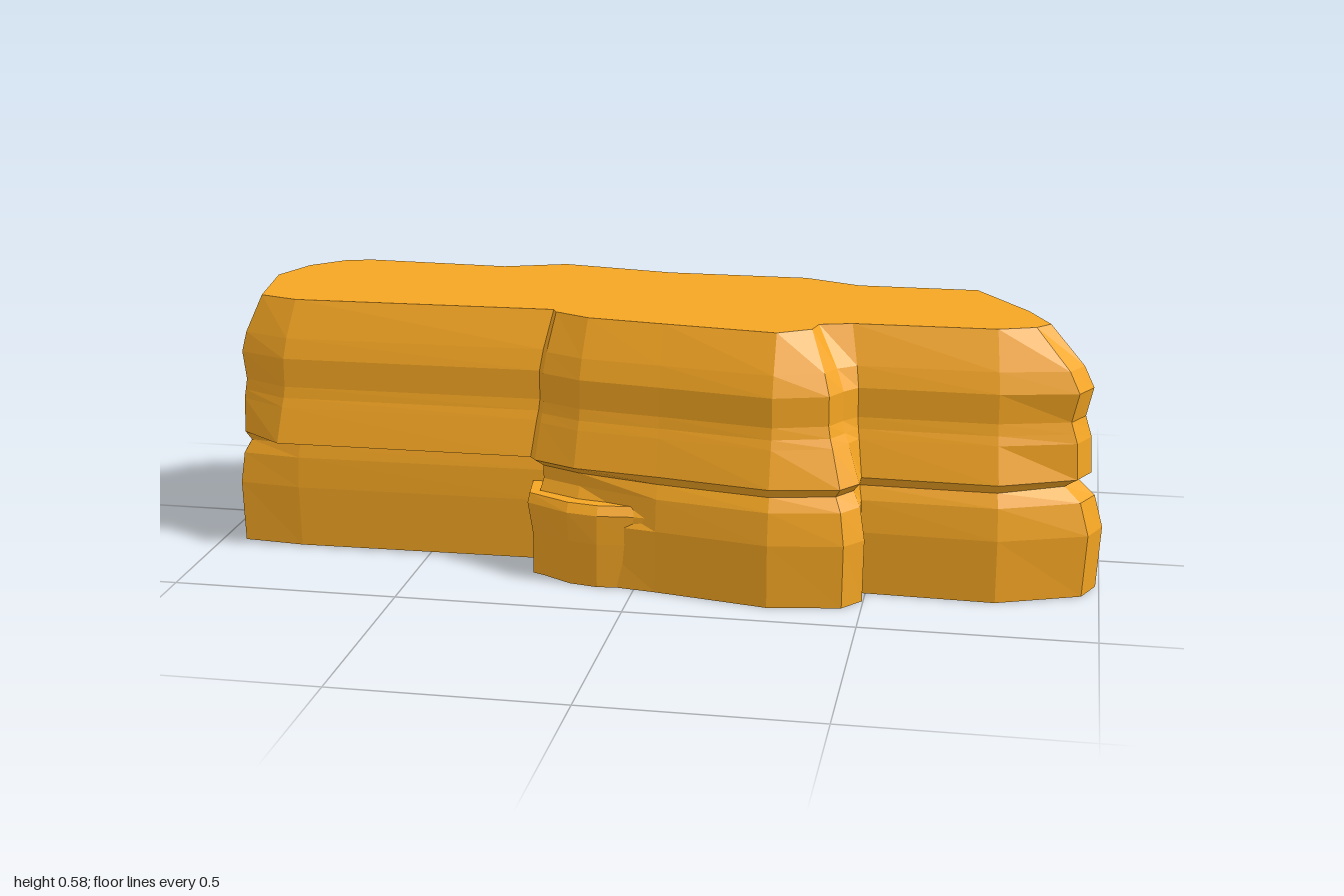
import * as THREE from 'three';

const rockMaterial = new THREE.MeshStandardMaterial({ color: 0xf5a623, flatShading: true });

// Skin a stack of rings (each an array of [x, y, z], same count) and cap both ends.
function skinRings(name, rings) {
  const pos = [];
  const tri = (a, b, c) => pos.push(...a, ...b, ...c);
  for (let k = 0; k < rings.length - 1; k++) {
    const lo = rings[k], hi = rings[k + 1];
    lo.forEach((a, i) => {
      const j = (i + 1) % lo.length;
      tri(a, hi[j], lo[j]);
      tri(a, hi[i], hi[j]);
    });
  }
  const cap = (ring, up) => {
    const flat = ring.map(p => new THREE.Vector2(p[0], p[2]));
    for (const [i, j, k] of THREE.ShapeUtils.triangulateShape(flat, [])) {
      const a = ring[i], b = ring[j], c = ring[k];
      const ny = (b[2] - a[2]) * (c[0] - a[0]) - (b[0] - a[0]) * (c[2] - a[2]);
      if ((ny > 0) === up) tri(a, b, c); else tri(a, c, b);
    }
  };
  cap(rings[0], false);
  cap(rings[rings.length - 1], true);
  const g = new THREE.BufferGeometry();
  g.setAttribute('position', new THREE.Float32BufferAttribute(pos, 3));
  g.computeVertexNormals();
  const mesh = new THREE.Mesh(g, rockMaterial);
  mesh.name = name;
  return mesh;
}

// Plan of the slab: widest x, z then top x, z, clockwise from the right end
const plan = [
  [-1.0, -0.05, -0.92, -0.03], [-0.95, -0.19, -0.88, -0.14], [-0.84, -0.32, -0.81, -0.21],
  [-0.76, -0.35, -0.75, -0.225], [-0.41, -0.33, -0.42, -0.21], [-0.22, -0.34, -0.28, -0.26],
  [0.1, -0.37, -0.02, -0.215], [0.3, -0.37, 0.3, -0.215], [0.43, -0.29, 0.43, -0.16],
  [0.74, -0.29, 0.7, -0.16], [0.92, -0.05, 0.82, 0.02], [1.0, 0.17, 0.87, 0.13],
  [0.97, 0.24, 0.84, 0.165], [0.78, 0.31, 0.76, 0.195], [0.49, 0.3, 0.45, 0.2],
  [0.5, 0.35, 0.38, 0.22], [0.46, 0.4, 0.37, 0.265], [0.3, 0.425, 0.3, 0.31],
  [0.05, 0.375, 0.05, 0.275], [-0.14, 0.345, -0.12, 0.25], [-0.24, 0.3, -0.2, 0.21],
  [-0.255, 0.28, -0.21, 0.19], [-0.84, 0.28, -0.8, 0.2], [-0.95, 0.2, -0.89, 0.17],
];

// Strata: height, then how far each side has drawn in from widest to top outline
const strata = [
  { y: 0, front: 0.02, frontRight: 0.85, recess: 0.02, end: 0.06, backLeft: 0, backRight: 0.05 },
  { y: 0.14, front: 0, frontRight: 0.8, recess: 0.05, end: 0, backLeft: 0.5, backRight: 0 },
  { y: 0.21, front: 0.1, frontRight: 0.85, recess: 0.45, end: 0.15, backLeft: 0.73, backRight: 0.25 },
  { y: 0.24, front: 0.24, frontRight: 0.92, recess: 0.45, end: 0.42, backLeft: 0.78, backRight: 1 },
  { y: 0.26, front: 0.13, frontRight: 0.13, recess: 0.13, end: 0.22, backLeft: 0.66, backRight: 0.42 },
  { y: 0.34, front: 0.36, frontRight: 0.36, recess: 0.36, end: 0.25, backLeft: 0.7, backRight: 0.38 },
  { y: 0.36, front: 0.43, frontRight: 0.43, recess: 0.43, end: 0.3, backLeft: 0.76, backRight: 0.6 },
  { y: 0.385, front: 0.48, frontRight: 0.48, recess: 0.48, end: 0.36, backLeft: 0.65, backRight: 0.45 },
  { y: 0.45, front: 0.48, frontRight: 0.48, recess: 0.48, end: 0.25, backLeft: 0.67, backRight: 0.45 },
  { y: 0.495, front: 0.62, frontRight: 0.62, recess: 0.62, end: 0.42, backLeft: 0.7, backRight: 0.58 },
  { y: 0.578, front: 1, frontRight: 1, recess: 1, end: 1, backLeft: 1, backRight: 1 },
];

function sideOf(x, z) {
  if (Math.abs(x) > 0.9 && z > -0.1) return 'end';
  if (z < 0) return x > 0 ? 'backLeft' : 'backRight';
  if (x < -0.25) return 'frontRight';
  return x < 0 ? 'recess' : 'front';
}

function cliffRings() {
  return strata.map(layer => plan.map(([x, z, tx, tz]) => {
    const t = layer[sideOf(x, z)];
    return [x + (tx - x) * t, layer.y, z + (tz - z) * t];
  }));
}

// Boulder: an outline scaled about a centre inside the cliff, level by level
function boulderRings(outline, cx, cz, levels) {
  return levels.map(([y, sx, sz]) =>
    outline.map(([x, z]) => [cx + (x - cx) * sx, y, cz + (z - cz) * sz]));
}

export function createModel() {
  const group = new THREE.Group();
  group.name = 'rockCliff';
  group.add(skinRings('layeredCliff', cliffRings()));

  // Boulder leaning on the back
  group.add(skinRings('backBoulder', boulderRings(
    [[-0.24, -0.15], [-0.22, -0.32], [-0.15, -0.395], [-0.03, -0.425], [0.02, -0.415],
      [0.1, -0.365], [0.21, -0.31], [0.2, -0.15]],
    -0.02, -0.15,
    [[0, 0.95, 0.87], [0.11, 0.98, 0.96], [0.135, 0.85, 0.86], [0.18, 0.98, 0.99],
      [0.32, 0.95, 1], [0.4, 0.88, 0.92], [0.46, 0.75, 0.75]])));

  // Low ledge at the foot of the front
  group.add(skinRings('frontLedge', boulderRings(
    [[0.06, 0.15], [0.06, 0.366], [0, 0.36], [-0.08, 0.368], [-0.15, 0.355],
      [-0.25, 0.3], [-0.27, 0.15]],
    -0.1, 0.15,
    [[0, 0.9, 0.98], [0.1, 0.93, 1], [0.165, 1, 1], [0.185, 0.98, 0.94]])));
  return group;
}
